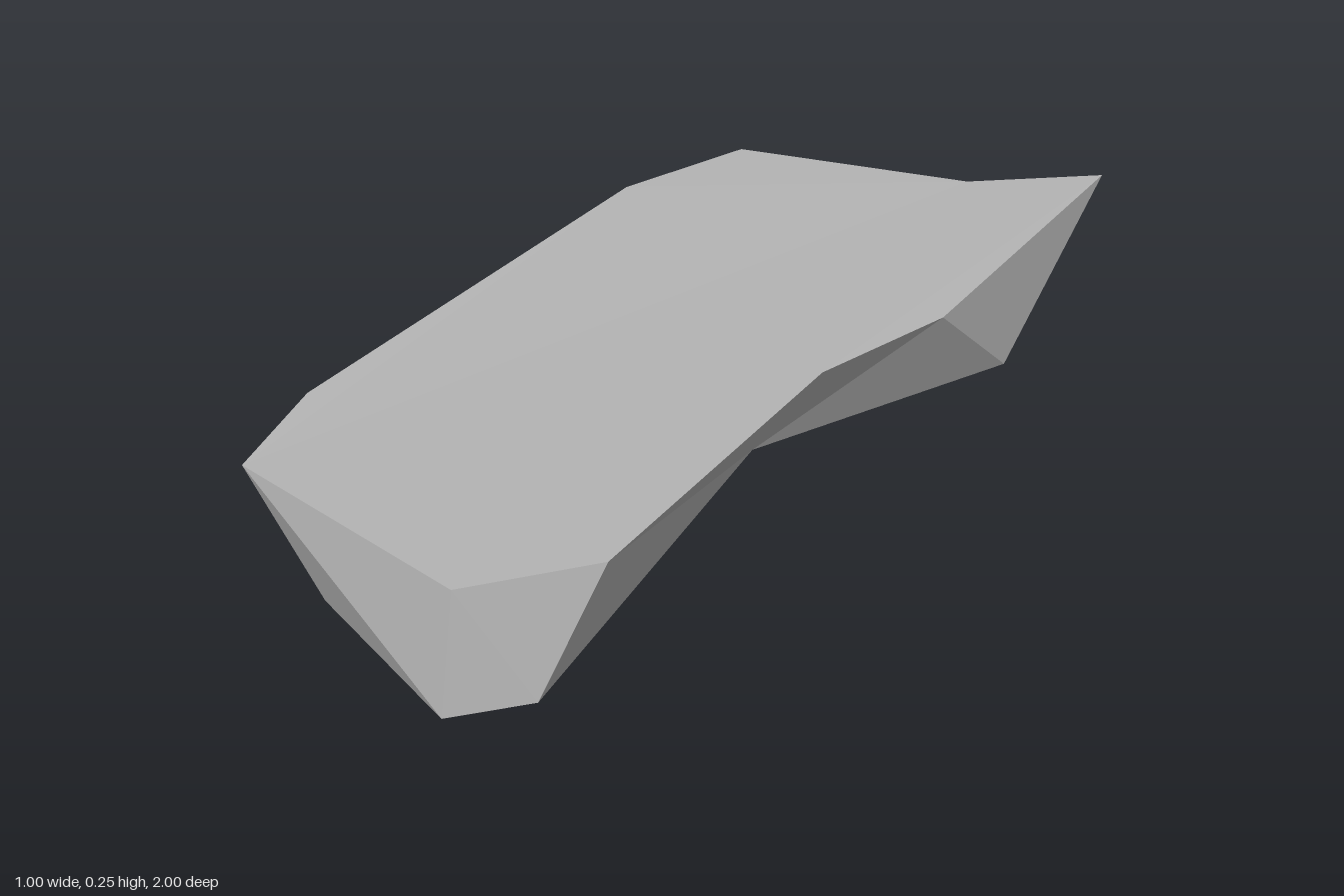
import * as THREE from 'three';

// Outlines as [x, y, z], counter-clockwise seen from above, starting at the rear tip
const topRim = [
  [0.495, 0.255, -1], [0.25, 0.252, -0.825], [-0.255, 0.252, -0.71], [-0.38, 0.252, -0.42],
  [-0.455, 0.252, 0.6], [-0.415, 0.242, 0.84], [0.132, 0.252, 0.96], [0.315, 0.252, 0.76],
  [0.345, 0.252, 0.04], [0.455, 0.252, -0.265],
];
const baseRim = [
  [0.385, 0, -0.815], [-0.265, 0, -0.89], [-0.5, 0, -0.6], [-0.42, 0, 0.59], [-0.25, 0, 0.84],
  [0.125, 0, 1], [0.25, 0.01, 0.89], [0.18, 0, 0.01], [0.48, 0, -0.55],
];
// Order in which the side facets step along the top (t) or the base (b)
const facetSteps = 'tbtbttbtbbtbtbttbtb';

function facetMesh(name, triangles, material) {
  const geometry = new THREE.BufferGeometry();
  geometry.setAttribute('position', new THREE.Float32BufferAttribute(triangles.flat(2), 3));
  geometry.computeVertexNormals();
  const mesh = new THREE.Mesh(geometry, material);
  mesh.name = name;
  return mesh;
}

// Fill a concave outline
function capTriangles(rim, faceDown) {
  const contour = rim.map(([x, , z]) => new THREE.Vector2(x, -z));
  return THREE.ShapeUtils.triangulateShape(contour, []).map(([a, b, c]) =>
    faceDown ? [rim[a], rim[c], rim[b]] : [rim[a], rim[b], rim[c]]);
}

// Stitch the two outlines together with triangular facets
function sideTriangles() {
  let t = 0, b = 0;
  const top = (i) => topRim[i % topRim.length];
  const base = (i) => baseRim[i % baseRim.length];
  return [...facetSteps].map((step) =>
    step === 't' ? [top(t), base(b), top(++t)] : [top(t), base(b), base(++b)]);
}

export function createModel() {
  const stone = new THREE.MeshStandardMaterial({ color: 0xb4b4b4 });
  stone.name = 'greyStone';

  const rock = new THREE.Group();
  rock.name = 'rockSlab';
  rock.add(
    facetMesh('topFace', capTriangles(topRim, false), stone),
    facetMesh('sideFacets', sideTriangles(), stone),
    facetMesh('underside', capTriangles(baseRim, true), stone),
  );
  return rock;
}
